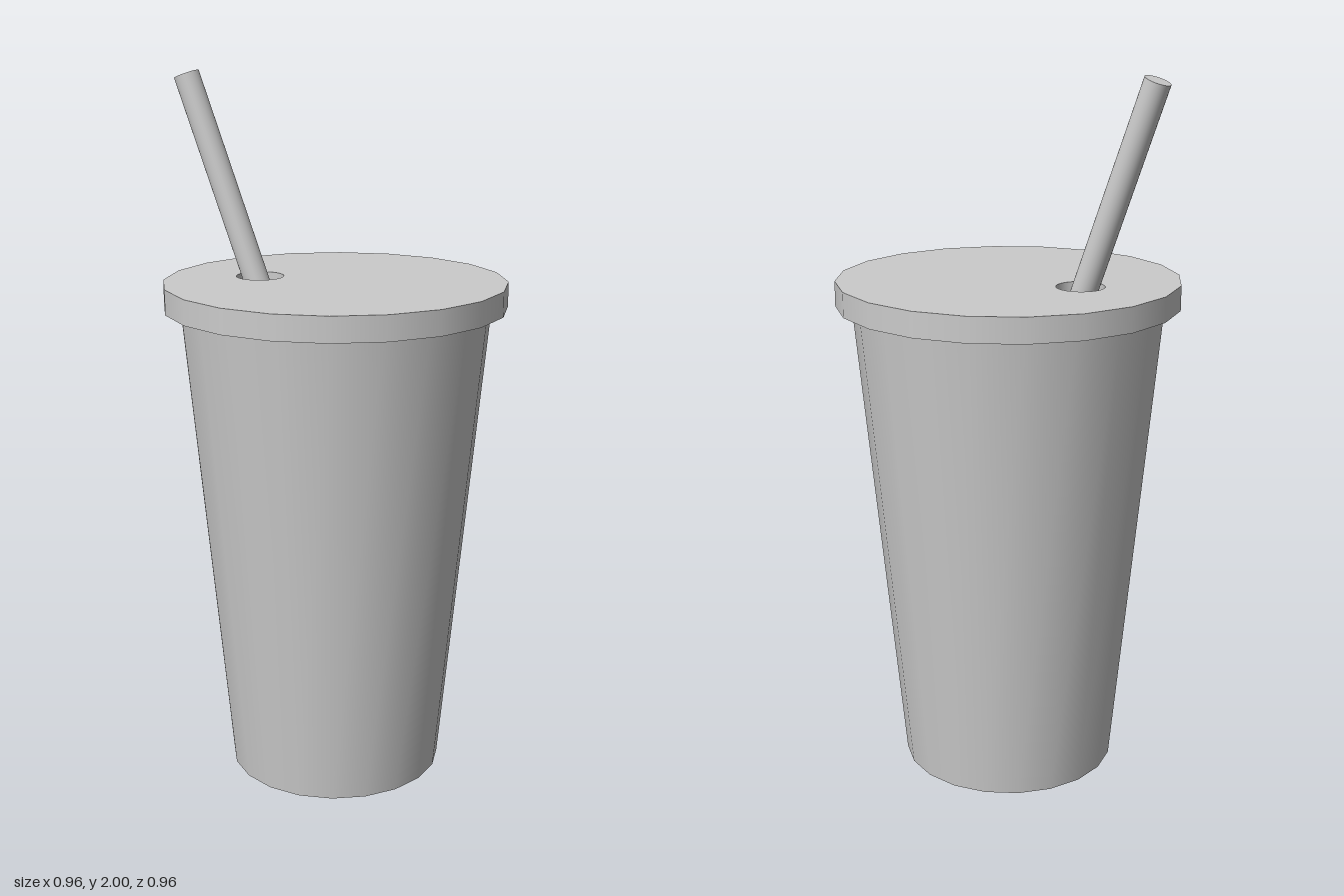
import * as THREE from 'three';
import { mergeGeometries } from 'three/addons/utils/BufferGeometryUtils.js';

const SIDES = 20;
const LID = { radius: 0.48, bottom: 1.365, top: 1.435 };
const HOLE = { x: -0.226, radius: 0.067, floor: 1.4 };

// Lid disc with a shallow round recess where the straw goes in
function lidGeometry() {
  const rim = new THREE.CylinderGeometry(LID.radius, LID.radius, LID.top - LID.bottom, SIDES, 1, true)
    .translate(0, (LID.top + LID.bottom) / 2, 0);

  const outline = Array.from({ length: SIDES }, (_, i) => {
    const a = (i / SIDES) * Math.PI * 2;
    return new THREE.Vector2(LID.radius * Math.cos(a), LID.radius * Math.sin(a));
  });
  const shape = new THREE.Shape(outline);
  shape.holes.push(new THREE.Path().absarc(HOLE.x, 0, HOLE.radius, 0, Math.PI * 2, true));
  const top = new THREE.ShapeGeometry(shape, 16).rotateX(-Math.PI / 2).translate(0, LID.top, 0);

  const underside = new THREE.CircleGeometry(LID.radius, SIDES)
    .rotateX(Math.PI / 2).translate(0, LID.bottom, 0);

  // Recess wall runs downward so that it faces inward
  const wall = new THREE.LatheGeometry([
    new THREE.Vector2(HOLE.radius, LID.top),
    new THREE.Vector2(HOLE.radius, HOLE.floor),
  ], 32).translate(HOLE.x, 0, 0);
  const floor = new THREE.CircleGeometry(HOLE.radius, 32)
    .rotateX(-Math.PI / 2).translate(HOLE.x, HOLE.floor, 0);

  return mergeGeometries([rim, top, underside, wall, floor]);
}

export function createModel() {
  const group = new THREE.Group();
  group.name = 'drinkCup';
  const material = new THREE.MeshStandardMaterial({ color: 0xcccccc });
  const add = (name, geometry) => {
    const mesh = new THREE.Mesh(geometry, material);
    mesh.name = name;
    group.add(mesh);
    return mesh;
  };

  // Tapered cup, its top tucked just inside the lid
  const cupHeight = 1.37;
  add('cup', new THREE.CylinderGeometry(0.436, 0.306, cupHeight, SIDES).translate(0, cupHeight / 2, 0));

  add('lid', lidGeometry());

  // Straw leaning to one side, its foot sunk into the recess floor
  const foot = new THREE.Vector3(-0.224, 1.385, 0);
  const tip = new THREE.Vector3(-0.439, 1.988, 0);
  const axis = tip.clone().sub(foot);
  const straw = add('straw', new THREE.CylinderGeometry(0.036, 0.036, axis.length(), 32));
  straw.position.copy(foot).lerp(tip, 0.5);
  straw.quaternion.setFromUnitVectors(new THREE.Vector3(0, 1, 0), axis.normalize());

  return group;
}
